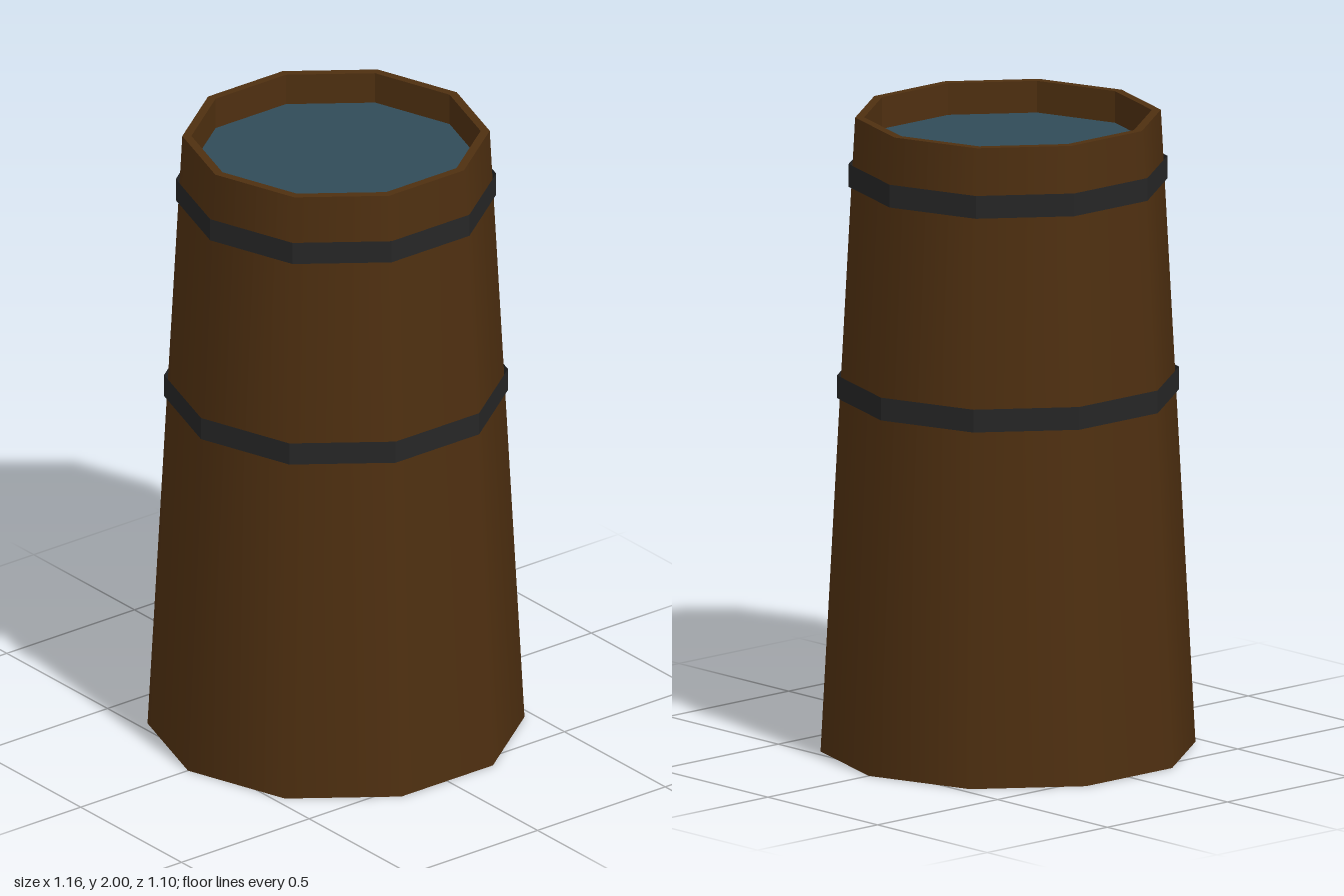
import * as THREE from 'three';

const SIDES = 10;
const BASE_R = 0.58, TOP_R = 0.473, INNER_R = 0.445;
const HEIGHT = 2, WATER_Y = 1.9;

// Open ten-sided wall with a corner on the x axis
function wall(topR, bottomR, y0, y1) {
  const g = new THREE.CylinderGeometry(topR, bottomR, y1 - y0, SIDES, 1, true, Math.PI / 2);
  return g.translate(0, (y0 + y1) / 2, 0);
}

function faceted(geometry) {
  const g = geometry.toNonIndexed();
  g.computeVertexNormals();
  return g;
}

export function createModel() {
  const group = new THREE.Group();
  const make = (name, color) => {
    const m = new THREE.MeshStandardMaterial({ color });
    m.name = name;
    return m;
  };
  const wood = make('darkWood', 0x4e2f10);
  const iron = make('blackIron', 0x262626);
  const water = make('water', 0x314b58);
  iron.side = THREE.DoubleSide;

  const add = (name, geometry, material) => {
    const mesh = new THREE.Mesh(geometry, material);
    mesh.name = name;
    group.add(mesh);
  };

  // Tapered barrel, smooth around its sides
  add('barrelWall', wall(TOP_R, BASE_R, 0, HEIGHT), wood);
  add('barrelBottom', new THREE.CircleGeometry(BASE_R, SIDES).rotateX(Math.PI / 2), wood);

  // Rim and the faceted inner wall, mirrored so it faces inward
  add('rim', new THREE.RingGeometry(INNER_R, TOP_R, SIDES).rotateX(-Math.PI / 2).translate(0, HEIGHT, 0), wood);
  add('innerWall', faceted(wall(INNER_R, INNER_R, WATER_Y, HEIGHT).scale(-1, 1, 1)), wood);

  // Water surface
  add('waterSurface', new THREE.CircleGeometry(INNER_R, SIDES).rotateX(-Math.PI / 2).translate(0, WATER_Y, 0), water);

  // Thin open hoops
  add('upperHoop', faceted(wall(0.493, 0.493, 1.782, 1.854)), iron);
  add('lowerHoop', faceted(wall(0.529, 0.529, 1.115, 1.187)), iron);

  return group;
}
